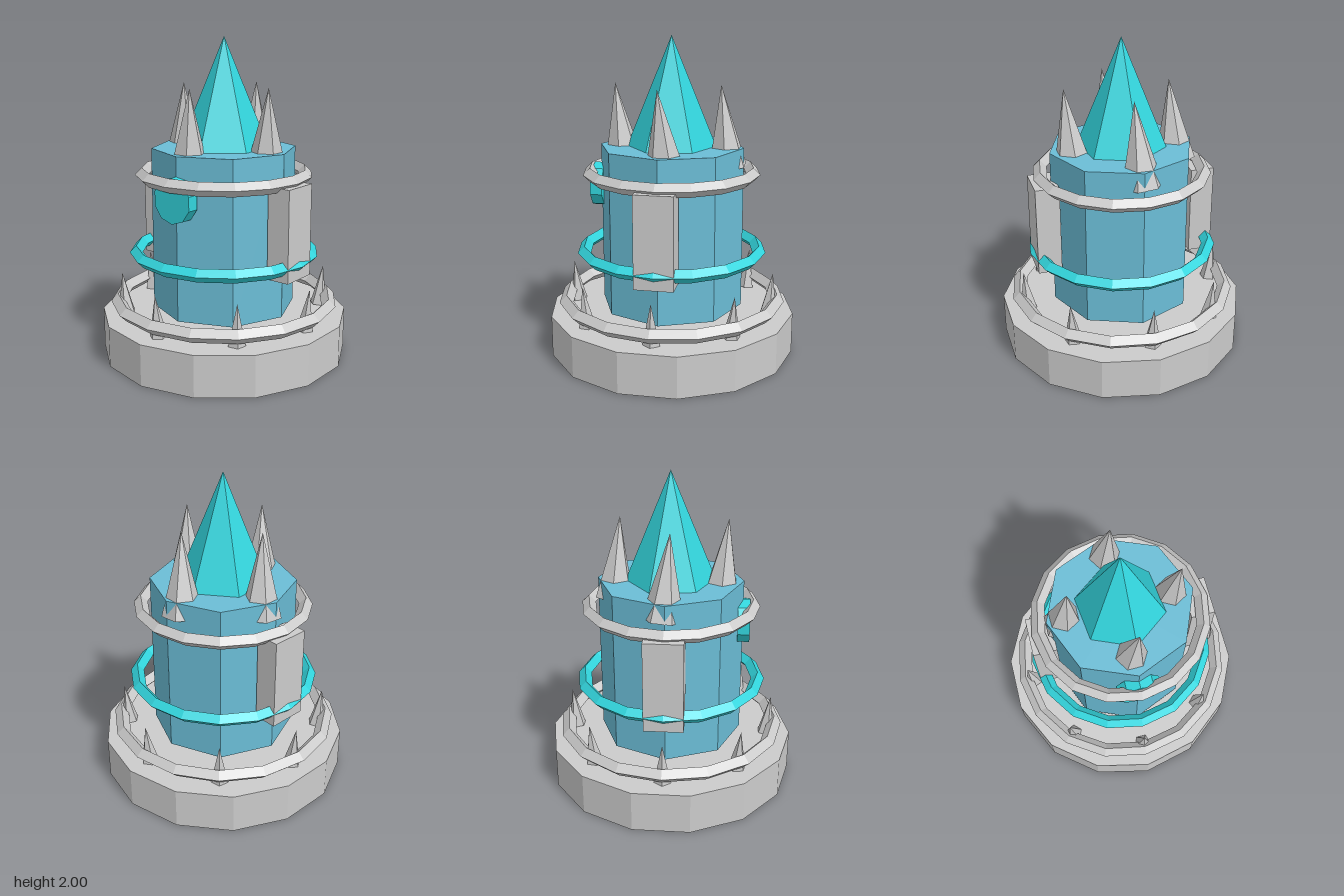
import * as THREE from 'three';

const material = (color) => new THREE.MeshStandardMaterial({ color, flatShading: true });

export function createModel() {
  const group = new THREE.Group();
  const grey = material(0xcccccc);
  const blue = material(0x6bbdd6);
  const teal = material(0x33d6de);

  const add = (name, geometry, mat, x, y, z) => {
    const mesh = new THREE.Mesh(geometry, mat);
    mesh.name = name;
    mesh.position.set(x, y, z);
    group.add(mesh);
    return mesh;
  };

  // Round plinth and octagonal tower
  add('base', new THREE.CylinderGeometry(0.785, 0.785, 0.26, 14), grey, 0, 0.13, 0);
  add('tower', new THREE.CylinderGeometry(0.453, 0.453, 1.02, 8), blue, 0, 0.81, 0);

  // Diamond-section rings
  const ring = (name, radius, tube, y, mat) => {
    const geometry = new THREE.TorusGeometry(radius, tube, 4, 16).rotateX(Math.PI / 2);
    add(name, geometry, mat, 0, y, 0);
  };
  ring('lowerRing', 0.682, 0.045, 0.335, grey);
  ring('middleRing', 0.56, 0.042, 0.655, teal);
  ring('upperRing', 0.515, 0.043, 1.156, grey);

  // Side panels
  for (const side of [-1, 1]) {
    add(side > 0 ? 'leftPanel' : 'rightPanel',
      new THREE.BoxGeometry(0.15, 0.57, 0.24), grey, side * 0.5, 0.855, 0);
  }

  // Ten-sided disc on the front
  add('frontDisc', new THREE.CylinderGeometry(0.14, 0.14, 0.075, 10).rotateX(Math.PI / 2),
    teal, 0, 1.06, 0.458);

  // Central crystal
  add('crystal', new THREE.ConeGeometry(0.278, 0.68, 6).rotateY(0.12), teal, 0, 1.66, 0);

  // Four crown spikes, all leaning the same way
  for (let i = 0; i < 4; i++) {
    const angle = i * Math.PI / 2;
    const spike = add('crownSpike', new THREE.ConeGeometry(0.125, 0.51, 6).rotateY(angle + Math.PI / 6),
      grey, 0.33 * Math.sin(angle), 1.455, 0.33 * Math.cos(angle));
    spike.rotation.set(0.08, 0, -0.08);
  }

  // Eight small spikes around the plinth, each slightly tilted
  for (let i = 0; i < 8; i++) {
    const angle = i * Math.PI / 4;
    const spike = add('baseSpike', new THREE.ConeGeometry(0.055, 0.26, 5).rotateY(angle),
      grey, 0.64 * Math.sin(angle), 0.392, 0.64 * Math.cos(angle));
    spike.rotation.set(0.1 * Math.cos(angle), 0, -0.1 * Math.sin(angle));
  }
  return group;
}
